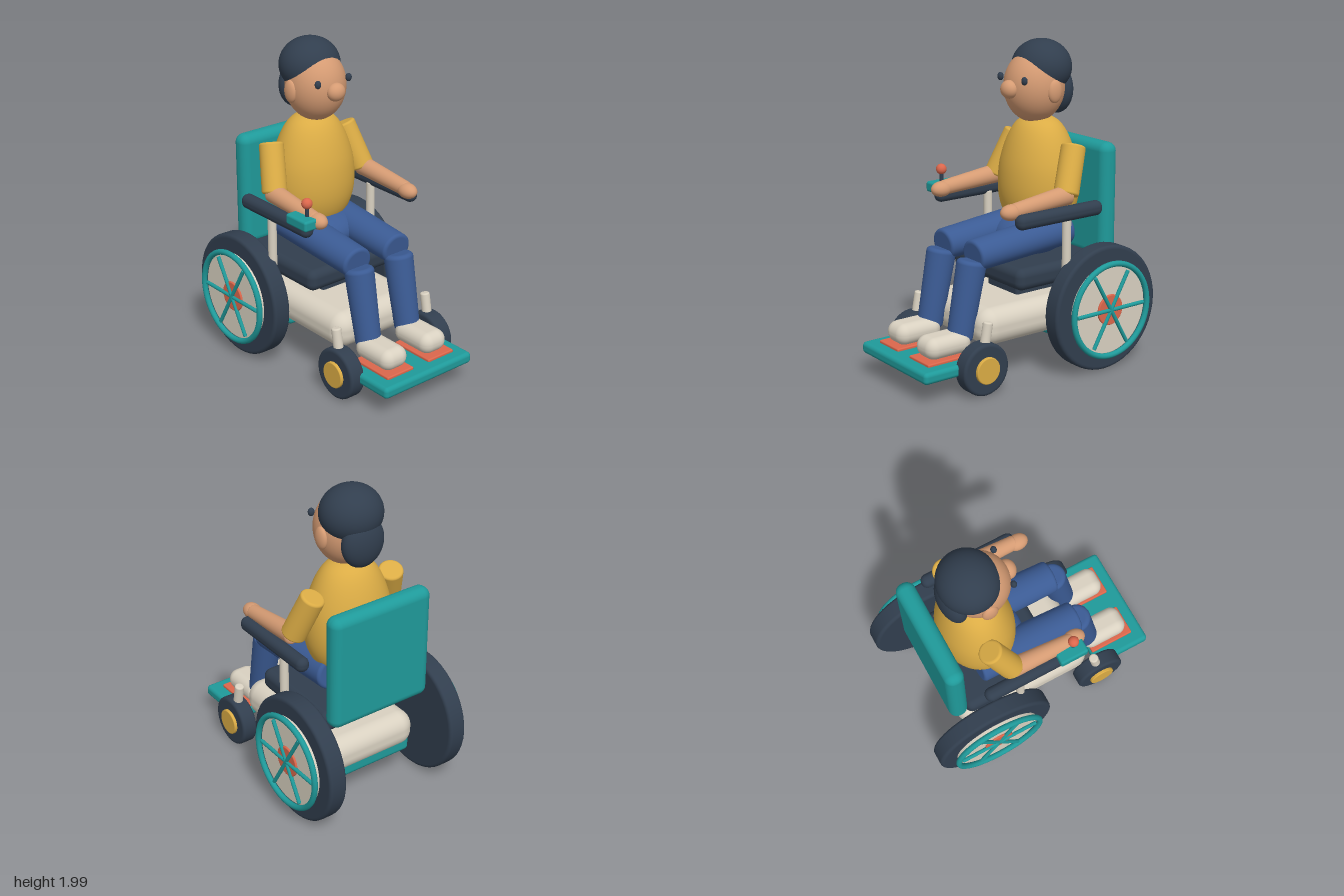
import * as THREE from 'three';
import { RoundedBoxGeometry } from 'three/addons/geometries/RoundedBoxGeometry.js';

const mat = (name, color) => {
  const m = new THREE.MeshStandardMaterial({ color });
  m.name = name;
  return m;
};
const V = (x, y, z) => new THREE.Vector3(x, y, z);
const UP = V(0, 1, 0);

export function createModel() {
  const root = new THREE.Group();
  root.name = 'personInPoweredWheelchair';
  const navy = mat('navy', 0x313e4e), teal = mat('teal', 0x1f9a9a), skin = mat('skin', 0xd59b73);
  const yellow = mat('mustard', 0xdbac45), blue = mat('denim', 0x3b5b94);
  const cream = mat('cream', 0xd9d1c1), coral = mat('coral', 0xdb674c);

  const add = (name, geo, m, x = 0, y = 0, z = 0) => {
    const mesh = new THREE.Mesh(geo, m);
    mesh.name = name;
    mesh.position.set(x, y, z);
    root.add(mesh);
    return mesh;
  };

  // rounded box given by its min and max on each axis
  const box = (name, m, r, [x0, x1], [y0, y1], [z0, z1]) =>
    add(name, new RoundedBoxGeometry(x1 - x0, y1 - y0, z1 - z0, 5, r), m,
      (x0 + x1) / 2, (y0 + y1) / 2, (z0 + z1) / 2);

  const ball = (name, m, x, y, z, rx, ry = rx, rz = rx) => {
    const mesh = add(name, new THREE.SphereGeometry(1, 40, 28), m, x, y, z);
    mesh.scale.set(rx, ry, rz);
    return mesh;
  };

  // cylinder with softened rims, from r0 at the bottom to r1 at the top
  const softCylinder = (r0, r1, h, bevel) => {
    const pts = [new THREE.Vector2(0, -h / 2), new THREE.Vector2(r0 - bevel * 1.2, -h / 2)];
    for (let i = 0; i <= 4; i++) {
      const a = (i / 4) * Math.PI / 2;
      pts.push(new THREE.Vector2(r0 - bevel + bevel * Math.sin(a), -h / 2 + bevel - bevel * Math.cos(a)));
    }
    for (let i = 0; i <= 4; i++) {
      const a = (i / 4) * Math.PI / 2;
      pts.push(new THREE.Vector2(r1 - bevel + bevel * Math.cos(a), h / 2 - bevel + bevel * Math.sin(a)));
    }
    pts.push(new THREE.Vector2(r1 - bevel * 1.2, h / 2), new THREE.Vector2(0, h / 2));
    return new THREE.LatheGeometry(pts, 48);
  };

  // soft cylinder running between two points
  const limb = (name, m, a, b, ra, rb, bevel = 0.015) => {
    const d = b.clone().sub(a);
    const mesh = add(name, softCylinder(ra, rb, d.length(), bevel), m);
    mesh.position.copy(a).add(b).multiplyScalar(0.5);
    mesh.quaternion.setFromUnitVectors(UP, d.normalize());
    return mesh;
  };

  // disc lying in the xy plane between two z values
  const disc = (name, m, x, y, z0, z1, r, bevel) => limb(name, m, V(x, y, z0), V(x, y, z1), r, r, bevel);

  // chair body
  box('chassis', cream, 0.1, [-0.56, 0.37], [0.25, 0.48], [-0.33, 0.33]);
  box('batteryBox', teal, 0.03, [-0.54, -0.16], [0.215, 0.33], [-0.29, 0.29]);
  box('seat', navy, 0.05, [-0.52, 0.13], [0.565, 0.7], [-0.345, 0.345]);
  box('seatPedestal', navy, 0.02, [-0.4, 0], [0.45, 0.6], [-0.15, 0.15]);
  box('backrest', teal, 0.055, [-0.63, -0.51], [0.65, 1.38], [-0.35, 0.35]);
  box('footplate', teal, 0.025, [0.42, 0.805], [0.143, 0.215], [-0.345, 0.345]);

  for (const s of [1, -1]) {
    const side = s > 0 ? 'Near' : 'Far';
    const zr = (a, b) => (s > 0 ? [a, b] : [-b, -a]);

    // drive wheel with push rim and spokes
    const wx = -0.415, wy = 0.405;
    disc('driveTyre' + side, navy, wx, wy, s * 0.388, s * 0.505, 0.392, 0.02);
    disc('wheelDisc' + side, cream, wx, wy, s * 0.46, s * 0.53, 0.28, 0.006);
    add('pushRim' + side, new THREE.TorusGeometry(0.289, 0.018, 14, 72), teal, wx, wy, s * 0.545);
    disc('wheelHub' + side, coral, wx, wy, s * 0.5, s * 0.542, 0.096, 0.006);
    for (let i = 0; i < 3; i++) {
      const a = (i * Math.PI) / 3, dx = 0.262 * Math.cos(a), dy = 0.262 * Math.sin(a);
      limb('spoke' + side, teal, V(wx - dx, wy - dy, s * 0.543), V(wx + dx, wy + dy, s * 0.543), 0.012, 0.012, 0.004);
    }

    // caster wheel
    disc('casterTyre' + side, navy, 0.415, 0.17, s * 0.305, s * 0.408, 0.16, 0.018);
    disc('casterHub' + side, yellow, 0.415, 0.17, s * 0.37, s * 0.427, 0.082, 0.006);
    limb('casterStem' + side, cream, V(0.415, 0.2, s * 0.357), V(0.37, 0.445, s * 0.357), 0.03, 0.03, 0.01);

    // armrest
    box('armrest' + side, navy, 0.04, [-0.43, 0.205], [0.975, 1.066], zr(0.368, 0.452));
    limb('armrestPost' + side, cream, V(-0.185, 0.62, s * 0.392), V(-0.185, 1.0, s * 0.392), 0.027, 0.027, 0.006);

    // foot pad and shoe
    box('footPad' + side, coral, 0.008, [0.43, 0.728], [0.2, 0.231], zr(0.06, 0.264));
    box('shoe' + side, cream, 0.064, [0.39, 0.702], [0.225, 0.358], zr(0.062, 0.25));

    // legs
    const thigh = limb('thigh' + side, blue, V(-0.36, 0.848, s * 0.155), V(0.332, 0.788, s * 0.155), 0.117, 0.105, 0.02);
    thigh.scale.x = 0.9;
    limb('shin' + side, blue, V(0.338, 0.765, s * 0.156), V(0.435, 0.29, s * 0.156), 0.09, 0.078, 0.025);

    // arms
    limb('sleeve' + side, yellow, V(-0.325, 1.388, s * 0.28), V(-0.215, 1.11, s * 0.345), 0.075, 0.077);
    limb('forearm' + side, skin, V(-0.23, 1.115, s * 0.352), V(0.19, 1.077, s * 0.358), 0.06, 0.046);
    ball('hand' + side, skin, 0.2, 1.073, s * 0.352, 0.07, 0.048, 0.052);

    // face details
    ball('ear' + side, skin, -0.26, 1.705, s * 0.178, 0.05, 0.07, 0.028);
    ball('eye' + side, navy, -0.078, 1.777, s * 0.117, 0.018, 0.025, 0.02);
  }

  // joystick control
  box('controlBox', teal, 0.015, [0.05, 0.235], [1.04, 1.105], [0.365, 0.472]);
  limb('joystickStem', navy, V(0.165, 1.09, 0.402), V(0.165, 1.18, 0.402), 0.012, 0.012, 0.003);
  ball('joystickKnob', coral, 0.165, 1.185, 0.402, 0.033);

  // torso and pelvis
  ball('pelvis', blue, -0.2, 0.81, 0, 0.22, 0.125, 0.25);
  const profile = [[0, 0.8], [0.4, 0.81], [0.66, 0.855], [0.86, 0.93], [0.97, 1.02], [1, 1.11], [0.97, 1.22],
    [0.88, 1.32], [0.73, 1.42], [0.55, 1.49], [0.3, 1.53], [0, 1.535]].map(([r, y]) => new THREE.Vector3(r, y, 0));
  const smooth = new THREE.CatmullRomCurve3(profile).getPoints(40).map((p) => new THREE.Vector2(Math.max(p.x, 0), p.y));
  const torso = add('torso', new THREE.LatheGeometry(smooth, 56), yellow, -0.28, 0, 0);
  torso.scale.set(0.233, 1, 0.275);

  // head and hair
  ball('head', skin, -0.245, 1.72, 0, 0.19, 0.222, 0.183);
  ball('nose', skin, -0.055, 1.715, 0, 0.05, 0.056, 0.06);
  ball('hairCap', navy, -0.3, 1.832, 0, 0.18, 0.168, 0.19);
  ball('hairBack', navy, -0.41, 1.69, 0, 0.08, 0.155, 0.14);

  return root;
}
